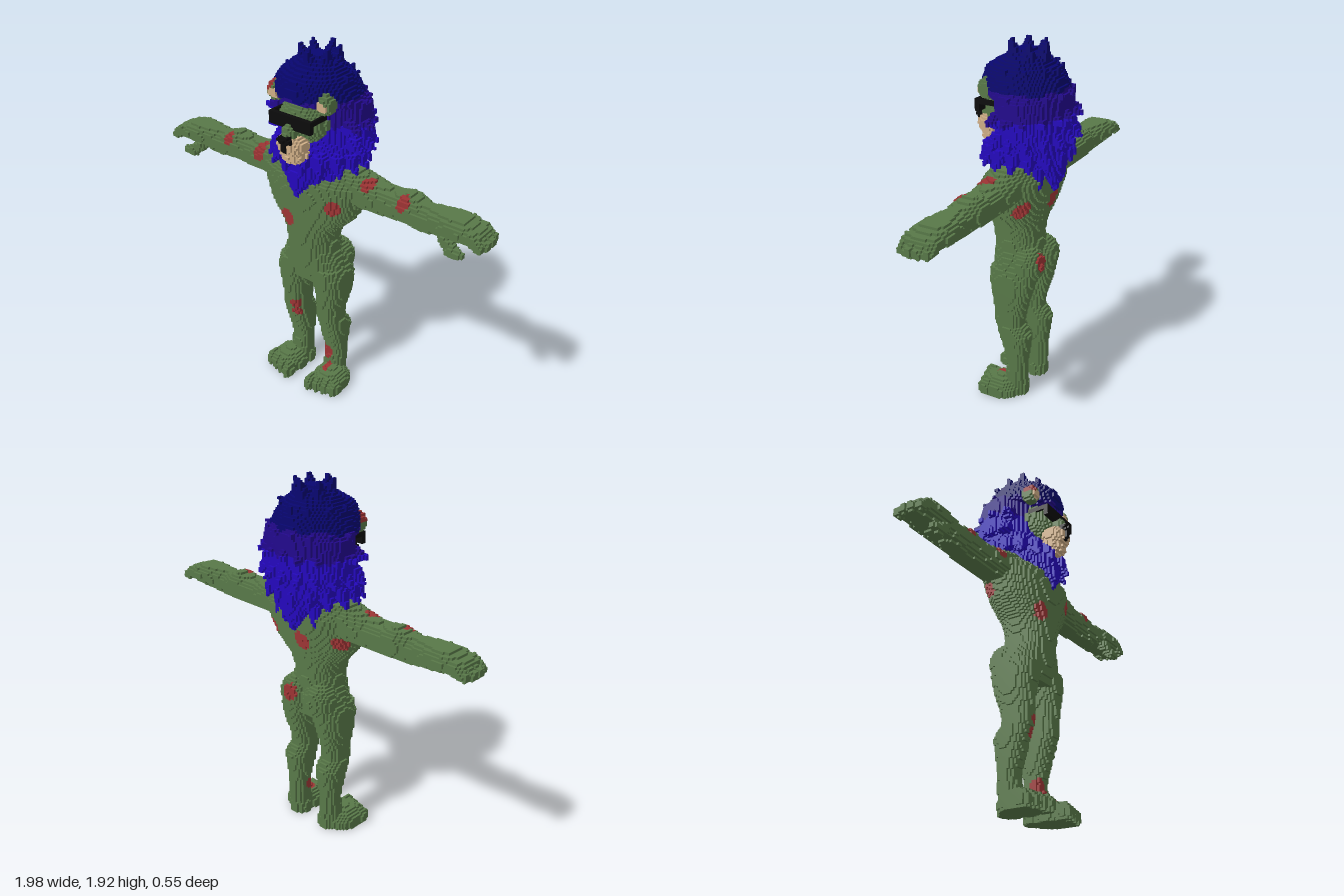
import * as THREE from 'three';

const S = 0.0125; // edge of one voxel
const mat = (name, color) => Object.assign(new THREE.MeshStandardMaterial({ color }), { name });
const green = mat('green skin', 0x587848), red = mat('red patch', 0x9c3434), tan = mat('tan muzzle', 0xcfae86);
const navy = mat('navy hair', 0x080670), purple = mat('purple hair', 0x22088c), blue = mat('blue hair', 0x2408bc);
const black = mat('black', 0x0b0b0b);

// --- solids: a bounding box and an inside test ---
const ball = (c, r) => ({
  lo: c.map((v, i) => v - r[i]), hi: c.map((v, i) => v + r[i]),
  has: p => p.reduce((s, v, i) => s + ((v - c[i]) / r[i]) ** 2, 0) <= 1,
});
const block = (lo, hi) => ({ lo, hi, has: p => p.every((v, i) => v >= lo[i] && v <= hi[i]) });
// Tapered rod from a (radius ra) to b (radius rb)
function rod(a, b, ra, rb) {
  const m = Math.max(ra, rb), d = b.map((v, i) => v - a[i]), len2 = d.reduce((s, v) => s + v * v, 0);
  return {
    lo: a.map((v, i) => Math.min(v, b[i]) - m), hi: a.map((v, i) => Math.max(v, b[i]) + m),
    has(p) {
      const dot = p.reduce((s, v, i) => s + (v - a[i]) * d[i], 0), t = Math.min(1, Math.max(0, dot / len2));
      return Math.hypot(...p.map((v, i) => v - a[i] - d[i] * t)) <= ra + (rb - ra) * t;
    },
  };
}
// Rounded cross-sections along an axis (0 = x, 1 = y); rows: [t, otherLo, otherHi, zLo, zHi]
function stack(axis, rows, power = 2.3) {
  const o = 1 - axis, last = rows[rows.length - 1];
  const min = k => Math.min(...rows.map(r => r[k])), max = k => Math.max(...rows.map(r => r[k]));
  const lo = [0, 0, min(3)], hi = [0, 0, max(4)];
  lo[axis] = rows[0][0]; hi[axis] = last[0]; lo[o] = min(1); hi[o] = max(2);
  return {
    lo, hi,
    has(p) {
      const t = p[axis], k = rows.findIndex((r, i) => i > 0 && t <= r[0]);
      if (k < 1 || t < rows[0][0]) return false;
      const A = rows[k - 1], B = rows[k], f = (t - A[0]) / (B[0] - A[0]);
      const [, a0, a1, b0, b1] = A.map((v, i) => v + (B[i] - v) * f);
      return Math.abs((2 * p[o] - a0 - a1) / (a1 - a0)) ** power + Math.abs((2 * p[2] - b0 - b1) / (b1 - b0)) ** power <= 1;
    },
  };
}
// Upright stack centred on x = 0; rows: [y, half width, zLo, zHi]
const trunk = (rows, power) => stack(1, rows.map(([y, h, b, f]) => [y, -h, h, b, f]), power);

// --- red patches on the skin: [x, y, z, radius] ---
const patches = [
  [-0.08, 1.04, 0.13, 0.042], [0.19, 1.17, 0.12, 0.037], [-0.34, 1.29, 0.05, 0.04], [-0.57, 1.29, 0.04, 0.03],
  [0.33, 1.31, 0.03, 0.03], [0.54, 1.29, 0.04, 0.033], [-0.08, 0.46, 0.1, 0.028], [-0.08, 0.4, 0.09, 0.028],
  [0.09, 0.18, 0.03, 0.037], [0.12, 0.1, 0.06, 0.022], [-0.03, 1.13, -0.14, 0.047], [0.2, 1.14, -0.08, 0.042],
  [-0.23, 1.15, -0.08, 0.036], [0.07, 0.8, -0.13, 0.04],
];
const skin = ([x, y, z]) =>
  patches.some(([a, b, c, r]) => Math.hypot(x - a, (y - b) / 1.15, (z - c) / 2) < r) ? red : green;

// --- shared voxel grid; later parts win ---
const key = (i, j, k) => ((i + 128) * 256 + j + 1) * 256 + k + 128;
function fill(cells, part, { lo, hi, has }, mirror) {
  const a = lo.map(v => Math.floor(v / S)), b = hi.map(v => Math.ceil(v / S));
  for (let i = a[0]; i <= b[0]; i++) for (let j = Math.max(0, a[1]); j <= b[1]; j++) for (let k = a[2]; k <= b[2]; k++) {
    if (!has([i, j, k].map(v => (v + 0.5) * S))) continue;
    cells.set(key(i, j, k), { part, at: [i, j, k] });
    if (mirror) cells.set(key(-1 - i, j, k), { part, at: [-1 - i, j, k] });
  }
}

function addBody(add, pair) {
  add('torso', skin, trunk([
    [0.68, 0.19, -0.09, 0.11], [0.75, 0.19, -0.1, 0.13], [0.86, 0.14, -0.1, 0.14], [0.92, 0.13, -0.09, 0.145],
    [1, 0.155, -0.1, 0.15], [1.1, 0.25, -0.135, 0.155], [1.2, 0.285, -0.165, 0.165], [1.27, 0.3, -0.17, 0.15],
    [1.355, 0.26, -0.11, 0.06]]));
  pair('buttocks', skin, ball([0.08, 0.78, -0.06], [0.095, 0.1, 0.085]));
  pair('legs', skin, stack(1, [
    [0.05, 0.06, 0.17, -0.07, 0.05], [0.2, 0.06, 0.175, -0.07, 0.025], [0.3, 0.05, 0.18, -0.085, 0.055],
    [0.37, 0.045, 0.19, -0.095, 0.075], [0.44, 0.05, 0.18, -0.05, 0.1], [0.5, 0.05, 0.175, -0.06, 0.105],
    [0.6, 0.04, 0.2, -0.09, 0.11], [0.7, 0.015, 0.205, -0.115, 0.13], [0.76, 0, 0.19, -0.11, 0.13]]));
  pair('feet', skin, ball([0.11, 0.03, -0.02], [0.06, 0.09, 0.055]), ball([0.145, 0.03, 0.06], [0.095, 0.08, 0.11]));
  for (let i = 0; i < 4; i++) pair('toes', skin, ball([0.08 + i * 0.047, 0.035, 0.158 - i * 0.012], [0.026, 0.05, 0.045]));
  pair('arms', skin, stack(0, [
    [0.2, 1.17, 1.355, -0.12, 0.09], [0.38, 1.175, 1.31, -0.105, 0.07], [0.46, 1.175, 1.305, -0.1, 0.06],
    [0.55, 1.175, 1.325, -0.105, 0.06], [0.64, 1.17, 1.295, -0.085, 0.06], [0.8, 1.195, 1.305, -0.105, 0.075]]));
  pair('hands', skin, stack(0, [
    [0.78, 1.19, 1.305, -0.105, 0.07], [0.85, 1.2, 1.3, -0.11, 0.085], [0.95, 1.205, 1.265, -0.085, 0.065]]));
  for (let i = 0; i < 4; i++) {
    const z = -0.075 + i * 0.042, tip = 0.975 - 0.012 * Math.abs(i - 1.5);
    pair('fingers', skin, rod([0.91, 1.245, z], [tip, 1.215, z + 0.005], 0.03, 0.023));
  }
  pair('thumbs', skin, rod([0.77, 1.2, 0.04], [0.83, 1.155, 0.06], 0.03, 0.025),
    rod([0.82, 1.155, 0.06], [0.875, 1.15, 0.065], 0.028, 0.018));
}

function addMane(add) {
  const hair = ([x, y]) => {
    const h = y + 0.012 * Math.sin(x * 50);
    return h > 1.705 ? navy : h > 1.58 ? purple : blue;
  };
  add('mane', hair, trunk([
    [1.19, 0.02, -0.18, 0.17], [1.25, 0.09, -0.2, 0.185], [1.32, 0.165, -0.215, 0.185], [1.4, 0.21, -0.23, 0.17],
    [1.5, 0.265, -0.235, 0.105], [1.67, 0.25, -0.225, 0.11], [1.69, 0.235, -0.22, 0.18], [1.75, 0.205, -0.2, 0.2],
    [1.8, 0.175, -0.17, 0.18], [1.85, 0.12, -0.1, 0.09], [1.885, 0.05, -0.05, 0.04]], 2));
  // Rings of tufts: the upper ones point up, the lower ones hang down
  for (let k = 0; k < 7; k++) {
    const t = k / 6, y = 1.84 - 0.52 * t, w = 0.07 + 0.17 * Math.sin(t * 2.5), d = 0.02 + 0.73 * w;
    const rise = 0.08 - 0.17 * t, reach = 0.025 + 0.035 * Math.sin(t * Math.PI), n = Math.round(70 * w) + 1;
    for (let i = 0; i < n; i++) {
      const a = ((i + (k % 2) / 2) / n) * Math.PI * 2 + Math.PI / 2, c = Math.cos(a), s = Math.sin(a);
      if (s > 0.3 && y < 1.75 && y > 1.45) continue; // keep the face clear
      add('mane', hair, rod([c * w, y, s * d - 0.02], [c * (w + reach), y + rise, s * (d + reach) - 0.02], 0.04, 0.008));
    }
  }
}

function addFace(add, pair) {
  add('head', () => green, ball([0, 1.59, 0.08], [0.135, 0.115, 0.115]), rod([0, 1.6, 0.165], [0, 1.555, 0.21], 0.045, 0.035));
  const ear = ([x, y, z]) => z > 0.14 && Math.hypot(Math.abs(x) - 0.148, y - 1.7) < 0.026 ? tan
    : z > 0.1 && x < -0.15 && y > 1.71 ? red : green;
  pair('ears', ear, ball([0.15, 1.71, 0.12], [0.042, 0.05, 0.045]));
  add('muzzle', () => tan, ball([0, 1.49, 0.185], [0.078, 0.055, 0.068]), ball([0, 1.435, 0.17], [0.07, 0.048, 0.062]));
  add('nose', () => black, ball([0, 1.53, 0.245], [0.036, 0.023, 0.025]), rod([0, 1.515, 0.25], [0, 1.475, 0.248], 0.018, 0.01));
  pair('sunglasses', () => black, block([0, 1.574, 0.186], [0.126, 1.639, 0.214]), block([0.11, 1.61, 0.04], [0.126, 1.639, 0.2]));
}

// One mesh from the exposed faces of a part, grouped by colour
function faceMesh(name, byColour) {
  const pos = [], nor = [], idx = [], mats = [], geo = new THREE.BufferGeometry();
  for (const [m, list] of byColour) {
    geo.addGroup(idx.length, list.length * 6, mats.length);
    mats.push(m);
    for (const [at, d, s] of list) {
      const v0 = pos.length / 3, corners = [[0, 0], [1, 0], [1, 1], [0, 1]];
      for (const [u, v] of s > 0 ? corners : corners.reverse()) {
        const p = [...at], q = [0, 0, 0];
        p[d] += s > 0 ? 1 : 0;
        p[(d + 1) % 3] += u;
        p[(d + 2) % 3] += v;
        q[d] = s;
        pos.push(...p.map(c => c * S));
        nor.push(...q);
      }
      idx.push(v0, v0 + 1, v0 + 2, v0, v0 + 2, v0 + 3);
    }
  }
  geo.setAttribute('position', new THREE.Float32BufferAttribute(pos, 3));
  geo.setAttribute('normal', new THREE.Float32BufferAttribute(nor, 3));
  geo.setIndex(idx);
  const mesh = new THREE.Mesh(geo, mats);
  mesh.name = name;
  return mesh;
}

export function createModel() {
  const cells = new Map(), parts = new Map(), group = new THREE.Group();
  const adder = mirror => (name, paint, ...solids) => {
    if (!parts.has(name)) parts.set(name, { paint, faces: new Map() });
    solids.forEach(solid => fill(cells, parts.get(name), solid, mirror));
  };
  const add = adder(false), pair = adder(true);
  addBody(add, pair);
  addMane(add);
  addFace(add, pair);
  // Keep only the faces that touch empty space
  for (const { part, at } of cells.values()) {
    const colour = part.paint(at.map(v => (v + 0.5) * S));
    for (let d = 0; d < 3; d++) for (const s of [1, -1]) {
      const next = [...at];
      next[d] += s;
      if (cells.has(key(...next))) continue;
      if (!part.faces.has(colour)) part.faces.set(colour, []);
      part.faces.get(colour).push([at, d, s]);
    }
  }
  for (const [name, { faces }] of parts) group.add(faceMesh(name, faces));
  return group;
}
